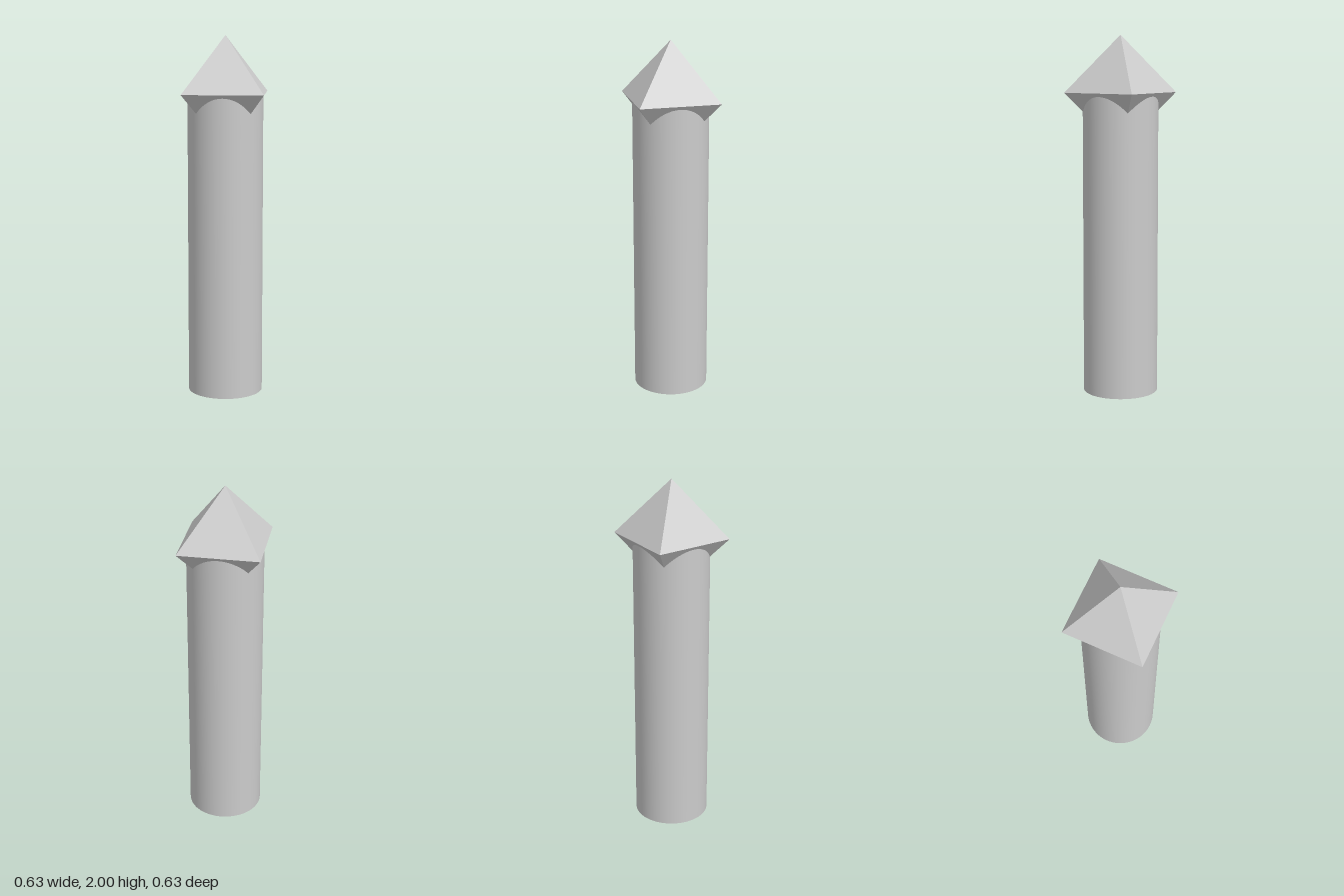
import * as THREE from 'three';

export function createModel() {
  const group = new THREE.Group();
  const tipRadius = 0.314;
  const tipCentre = 2 - tipRadius;

  // Round shaft, ending inside the tip
  const shaft = new THREE.Mesh(
    new THREE.CylinderGeometry(0.209, 0.209, tipCentre, 64),
    new THREE.MeshStandardMaterial({ color: 0xcccccc })
  );
  shaft.name = 'shaft';
  shaft.position.y = tipCentre / 2;
  group.add(shaft);

  // Eight-sided pointed tip, corners on the axes
  const tip = new THREE.Mesh(
    new THREE.OctahedronGeometry(tipRadius),
    new THREE.MeshStandardMaterial({ color: 0xcccccc, flatShading: true })
  );
  tip.name = 'tip';
  tip.position.y = tipCentre;
  group.add(tip);

  return group;
}
